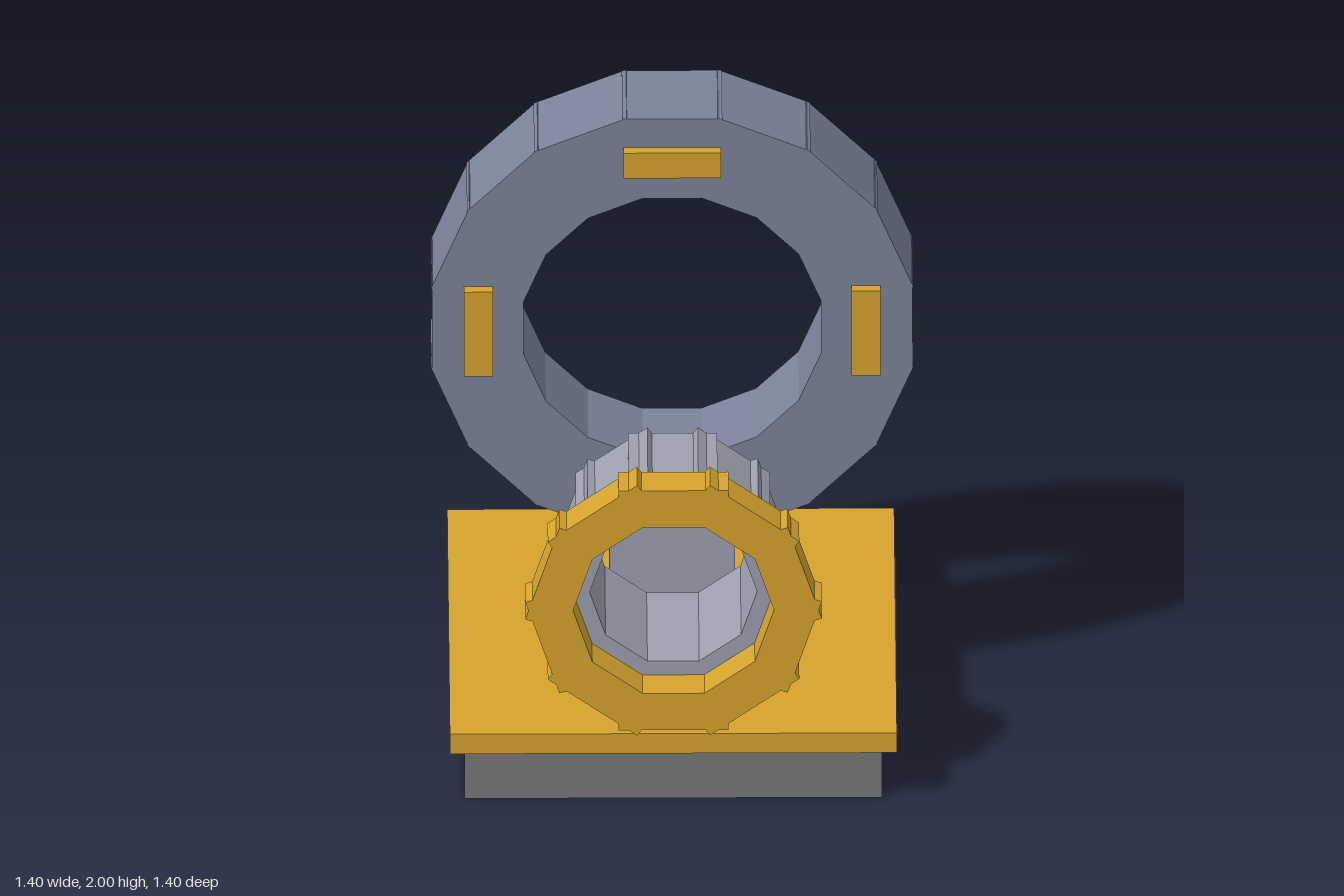
import * as THREE from 'three';

const material = (color) => new THREE.MeshStandardMaterial({ color, flatShading: true });

// Box given by its extents along each axis
function block(name, mat, [x0, x1], [y0, y1], [z0, z1]) {
  const mesh = new THREE.Mesh(new THREE.BoxGeometry(x1 - x0, y1 - y0, z1 - z0), mat);
  mesh.position.set((x0 + x1) / 2, (y0 + y1) / 2, (z0 + z1) / 2);
  mesh.name = name;
  return mesh;
}

// Ring of overlapping blocks around the z axis, centred at height y
function blockRing(name, mat, { count, inner, outer, halfWidth, y, z }) {
  const ring = new THREE.Group();
  ring.name = name;
  ring.position.y = y;
  for (let i = 0; i < count; i++) {
    const spoke = new THREE.Group();
    spoke.name = name + 'Segment';
    spoke.rotation.z = (i / count) * Math.PI * 2;
    spoke.add(block(name + 'Block', mat, [-halfWidth, halfWidth], [inner, outer], z));
    ring.add(spoke);
  }
  return ring;
}

export function createModel() {
  const model = new THREE.Group();
  model.name = 'ringMonument';
  const gold = material(0xd6a42d);
  const steel = material(0x7b8398);
  const silver = material(0x9ca0af);
  const stone = material(0x787878);

  // Stepped base and pillar
  model.add(
    block('plinth', stone, [-0.605, 0.605], [0, 0.175], [-0.66, 0.565]),
    block('baseSlab', gold, [-0.648, 0.648], [0.175, 0.241], [-0.7, 0.61]),
    block('pillar', silver, [-0.182, 0.182], [0.001, 0.766], [-0.26, 0.107]),
  );

  // Large upright ring, with four plates that show on both faces
  model.add(
    blockRing('largeRing', steel, {
      count: 16, inner: 0.432, outer: 0.697, halfWidth: 0.145, y: 1.302, z: [-0.19, 0.094],
    }),
    blockRing('ringPlates', gold, {
      count: 4, inner: 0.52, outer: 0.604, halfWidth: 0.141, y: 1.3, z: [-0.225, 0.127],
    }),
  );

  // Short open tube in front, ending in a wider collar
  model.add(
    blockRing('tube', silver, {
      count: 10, inner: 0.231, outer: 0.302, halfWidth: 0.129, y: 0.707, z: [0.197, 0.597],
    }),
    blockRing('tubeCollar', gold, {
      count: 10, inner: 0.277, outer: 0.4, halfWidth: 0.16, y: 0.707, z: [0.595, 0.705],
    }),
  );

  return model;
}
